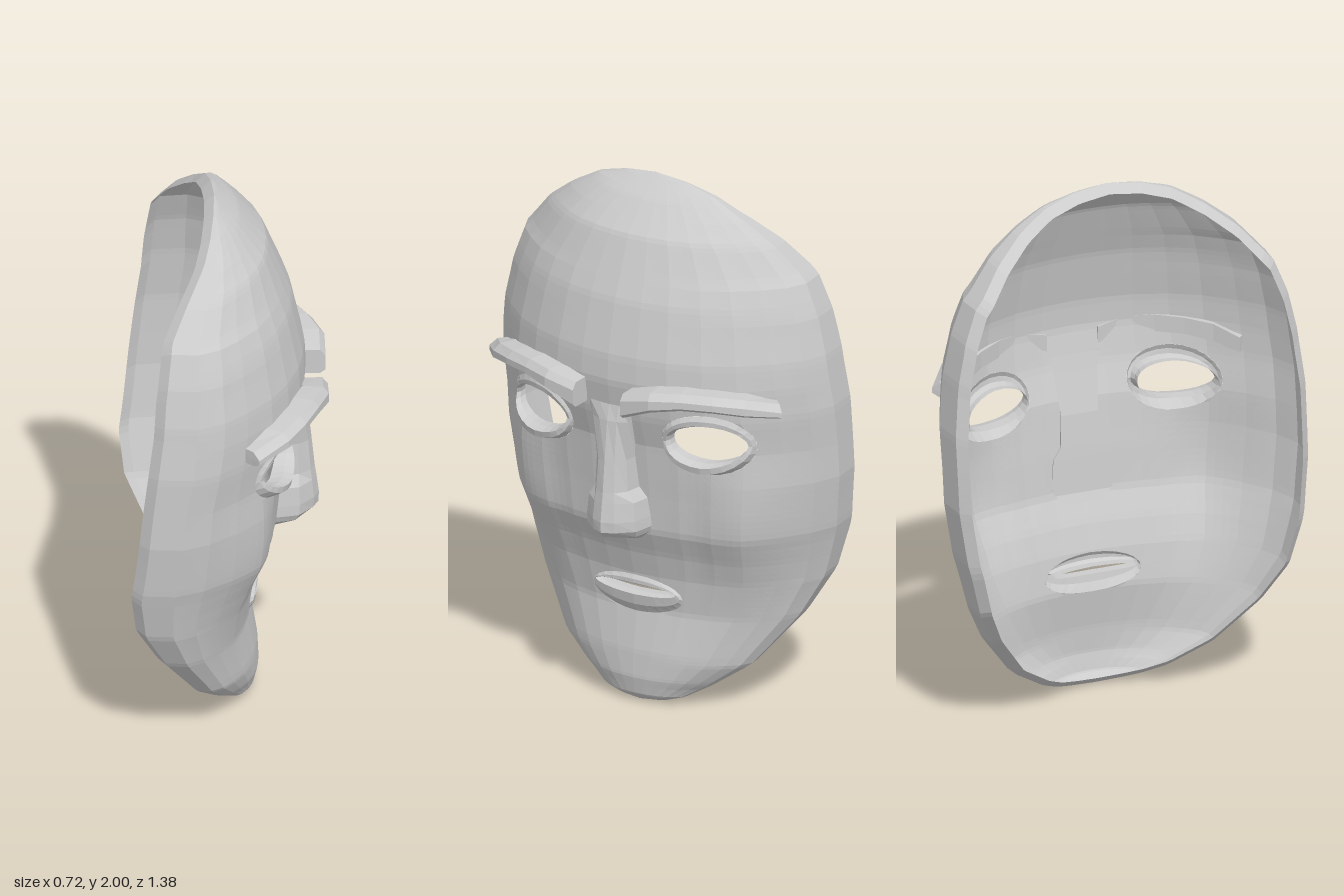
import * as THREE from 'three';

const material = new THREE.MeshStandardMaterial({ color: 0xcccccc, flatShading: true, side: THREE.DoubleSide });

// Piecewise linear lookup in [key, value] pairs
function lookup(table, k) {
  let i = 1;
  while (i < table.length - 1 && k > table[i][0]) i++;
  const [a, b] = [table[i - 1], table[i]];
  const f = THREE.MathUtils.clamp((k - a[0]) / (b[0] - a[0]), 0, 1);
  return a[1] + (b[1] - a[1]) * f;
}

// Half width, back edge and front centre line, each by height
const WIDTH = [[0, 0], [0.01, 0.1], [0.03, 0.17], [0.08, 0.26], [0.17, 0.39], [0.36, 0.535], [0.51, 0.61], [0.72, 0.665],
  [0.92, 0.69], [1.2, 0.692], [1.4, 0.67], [1.55, 0.637], [1.67, 0.59], [1.8, 0.475], [1.88, 0.37], [1.95, 0.25], [1.985, 0.13], [2, 0]];
const BACK = [[0, 0.07], [0.03, 0.02], [0.07, -0.035], [0.18, -0.12], [0.35, -0.225], [0.52, -0.312], [0.68, -0.335], [1, -0.295],
  [1.36, -0.245], [1.5, -0.235], [1.7, -0.21], [1.8, -0.155], [1.9, -0.085], [2, -0.04]];
const FRONT = [[0, 0.07], [0.03, 0.105], [0.1, 0.12], [0.2, 0.115], [0.36, 0.09], [0.5, 0.11], [0.6, 0.14], [0.7, 0.185],
  [0.85, 0.2], [1.05, 0.225], [1.17, 0.265], [1.3, 0.29], [1.4, 0.285], [1.6, 0.24], [1.82, 0.15], [1.93, 0.05], [2, -0.04]];
// Horizontal section: [sideways fraction, depth fraction] from centre to edge
const SECTION = [[0, 1], [0.17, 0.985], [0.34, 0.946], [0.52, 0.862], [0.68, 0.744], [0.83, 0.574], [0.94, 0.415], [1, 0.233], [0.985, 0]];
const SIDEWAYS = SECTION.map((p, i) => [i / 8, p[0]]);
const DEPTH = SECTION.map((p, i) => [i / 8, p[1]]);
const FACE_DEPTH = SECTION.slice(0, 8);

// Depth at height y, section fraction b and sideways fraction a, with full cheeks
const depthAt = (y, b, a) => THREE.MathUtils.lerp(lookup(BACK, y), lookup(FRONT, y), b)
  + 0.058 * Math.exp(-(((a - 0.7) / 0.22) ** 2) - ((y - 0.77) / 0.3) ** 2);

// Face sheet; t runs across (-1..1), s runs up (0..1)
function face(t, s) {
  const y = 1 - Math.cos(Math.PI * s), a = lookup(SIDEWAYS, Math.abs(t));
  return [depthAt(y, lookup(DEPTH, Math.abs(t)), a), y, Math.sign(t) * a * lookup(WIDTH, y)];
}

// Depth of the face at a given side position and height
function faceX(z, y) {
  const a = Math.abs(z) / lookup(WIDTH, y);
  return depthAt(y, lookup(FACE_DEPTH, a), a);
}

// Elliptical cut-outs in the face
const EYE = { z: 0.35, y: 1.092, rz: 0.16, ry: 0.12 };
const MOUTH = { z: 0, y: 0.42, rz: 0.188, ry: 0.073 };
const HOLES = [EYE, { ...EYE, z: -EYE.z }, MOUTH];
const radius = (p, h) => Math.hypot((p[2] - h.z) / h.rz, (p[1] - h.y) / h.ry);

// Move a point that lies in a cut-out onto its edge
function toEdge(p, holes) {
  const h = holes.find((o) => radius(p, o) < 1);
  if (!h) return p;
  const r = Math.max(radius(p, h), 0.001);
  const y = h.y + (p[1] - h.y) / r, z = h.z + (p[2] - h.z) / r;
  return [faceX(z, y), y, z];
}

// Surface from fn(u, v), u and v in 0..1, with optional cut-outs
function sheet(fn, nu, nv, flip = false, holes = []) {
  const positions = [];
  for (let i = 0; i < nu; i++) for (let j = 0; j < nv; j++) {
    const corners = [[i, j], [i, j + 1], [i + 1, j + 1], [i + 1, j]].map(([k, l]) => fn(k / nu, l / nv));
    if (holes.some((h) => corners.every((p) => radius(p, h) < 1))) continue;
    const [a, b, c, d] = corners.map((p) => toEdge(p, holes));
    for (const p of flip ? [a, c, b, a, d, c] : [a, b, c, a, c, d]) positions.push(...p);
  }
  const geometry = new THREE.BufferGeometry();
  geometry.setAttribute('position', new THREE.Float32BufferAttribute(positions, 3));
  geometry.computeVertexNormals();
  return geometry;
}

// Surface through a list of closed cross-sections
function loft(sections, flip) {
  const n = sections[0].length, m = sections.length - 1;
  return sheet((u, v) => sections[Math.round(v * m)][Math.round(u * n) % n], n, m, flip);
}

// Moulded ring lining a cut-out: [z radius, y radius, y shift, offset, lower bulge]
function liner(centre, side, rings) {
  return loft(rings.map(([rz, ry, dy, off, bulge]) => Array.from({ length: 24 }, (_, i) => {
    const a = i / 24 * Math.PI * 2, sin = Math.sin(a);
    const z = side * (centre.z + rz * Math.cos(a)), y = centre.y + dy + ry * sin;
    return [faceX(z, y) + off + bulge * Math.max(0, -sin), y, z];
  })), side < 0);
}

// Brow bar: [z, bottom, top, back x, front x] stations along the forehead
function brow(side) {
  const stations = [[0.1, 1.2, 1.295, 0.27, 0.365], [0.21, 1.245, 1.32, 0.27, 0.365], [0.31, 1.26, 1.325, 0.23, 0.325],
    [0.41, 1.255, 1.318, 0.175, 0.275], [0.5, 1.238, 1.305, 0.11, 0.21], [0.575, 1.213, 1.27, 0.035, 0.1]];
  const sections = stations.map(([z, low, high, back, front], i) => {
    const out = i * 0.009, mid = front - 0.02;
    const corner = (x, y, dz) => [x, y, side * (z + dz)];
    return [corner(back, low, -out / 2), corner(mid, low, out / 2), corner(front, low + 0.015, out),
      corner(front, high - 0.025, out), corner(mid, high, out / 2), corner(back, high, -out / 2)];
  });
  // Closed ends
  const cap = (s) => {
    const mid = [0, 1, 2].map((k) => s.reduce((sum, p) => sum + p[k], 0) / s.length);
    return s.map(() => mid);
  };
  return loft([cap(sections[0]), ...sections, cap(sections.at(-1))], side > 0);
}

// Nose sections: [height, base half width, ridge half width, front]
function nose() {
  const rows = [[1.21, 0.1, 0.04, 0.278], [1.15, 0.085, 0.036, 0.293], [1, 0.072, 0.034, 0.31], [0.88, 0.08, 0.038, 0.322],
    [0.84, 0.11, 0.042, 0.328], [0.77, 0.118, 0.045, 0.337], [0.73, 0.12, 0.042, 0.335], [0.705, 0.11, 0.03, 0.31], [0.67, 0.07, 0.02, 0.2], [0.67, 0, 0, 0.17]];
  return loft(rows.map(([y, base, ridge, front]) => {
    const back = Math.min(faceX(0, y) - 0.015, front), mid = back + (front - back) * 0.55;
    const half = [[back, base], [mid, base * 0.86], [front - (front - back) * 0.12, ridge]];
    return [...half.map(([x, z]) => [x, y, z]), [front, y, 0], ...half.reverse().map(([x, z]) => [x, y, -z])];
  }), true);
}

export function createModel() {
  const group = new THREE.Group();
  const add = (name, geometry) => {
    const mesh = new THREE.Mesh(geometry, material);
    mesh.name = name;
    group.add(mesh);
  };

  // Thin mask sheet with eye and mouth cut-outs
  add('face', sheet((u, v) => face(u * 2 - 1, v), 64, 120, false, HOLES));

  for (const side of [1, -1]) {
    const label = side > 0 ? 'PositiveZ' : 'NegativeZ';
    // Edge strip curling inward
    add('rim' + label, sheet((u, v) => {
      const [x, y, z] = face(side, v);
      return [x - 0.035 * u, 1 + (y - 1) * (1 - 0.03 * u), z * (1 - 0.05 * u)];
    }, 1, 120, side < 0));
    add('eyelid' + label, liner(EYE, side, [
      [0.16, 0.12, 0, 0, 0], [0.152, 0.1, 0, 0.012, 0.045], [0.141, 0.078, 0.003, 0.012, 0.05],
      [0.135, 0.069, 0.003, -0.01, 0.035], [0.137, 0.071, 0.003, -0.04, 0.02]]));
    add('brow' + label, brow(side));
  }

  add('nose', nose());
  add('lips', liner(MOUTH, 1, [
    [0.188, 0.073, 0, 0, 0], [0.182, 0.05, 0.008, 0.012, 0.004], [0.17, 0.022, 0.021, 0.014, 0.004],
    [0.162, 0.012, 0.022, 0, 0], [0.162, 0.013, 0.022, -0.035, 0]]));
  return group;
}
